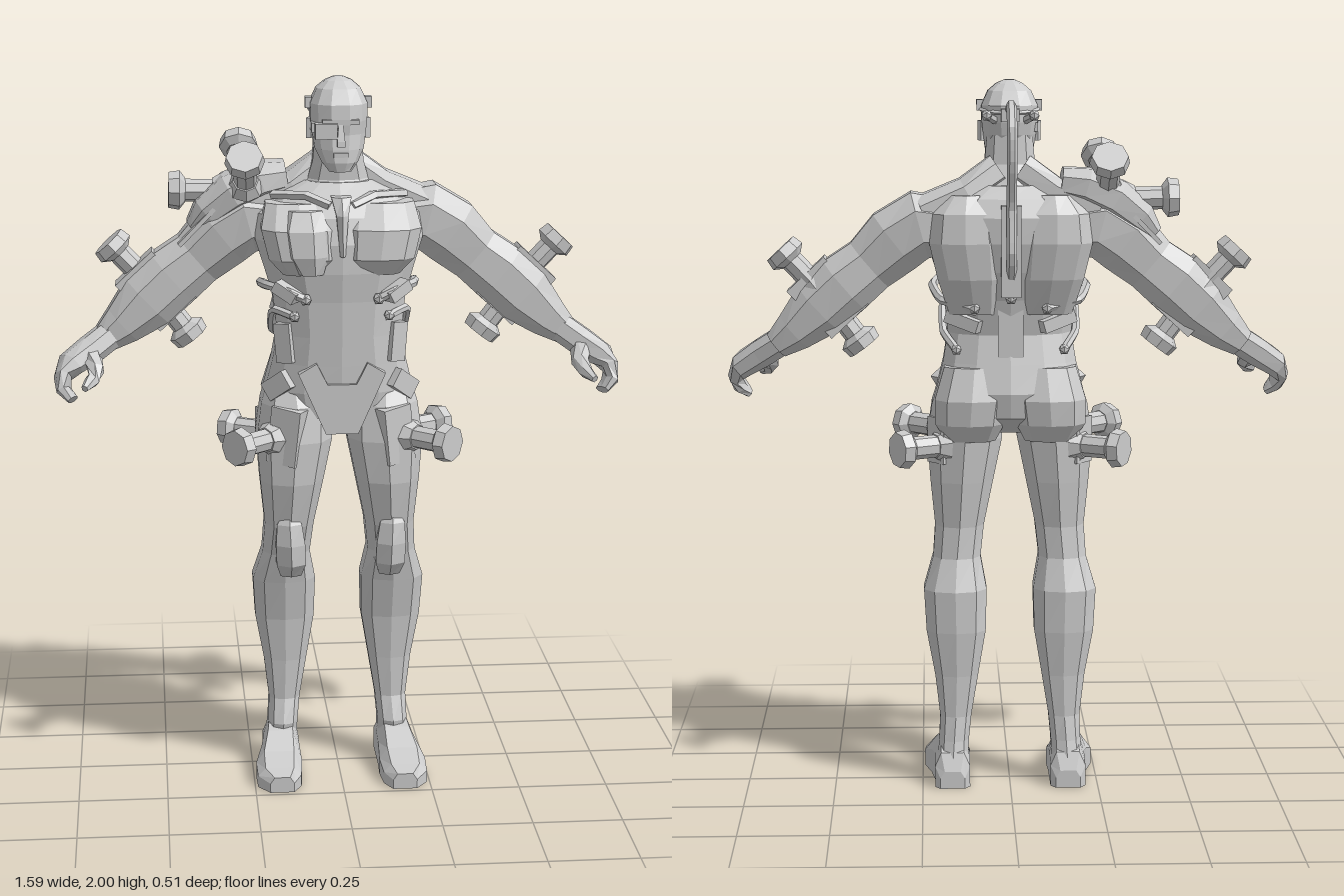
import * as THREE from 'three';

const grey = new THREE.MeshStandardMaterial({ color: 0xcccccc, flatShading: true });
grey.name = 'grey';

export function createModel() {
  const model = new THREE.Group();
  const V = (a) => new THREE.Vector3(...a);

  function add(name, geo, parent = model) {
    const mesh = new THREE.Mesh(geo, grey);
    mesh.name = name;
    parent.add(mesh);
    return mesh;
  }

  // Skin a closed surface over rings of points, oriented outward by its signed volume
  function loft(name, rings) {
    const n = rings[0].length, pos = [], idx = [];
    rings.forEach((r) => r.forEach((p) => pos.push(p)));
    for (let k = 0; k < rings.length - 1; k++)
      for (let i = 0; i < n; i++) {
        const a = k * n + i, b = k * n + (i + 1) % n;
        idx.push([a, a + n, b], [b, a + n, b + n]);
      }
    [0, rings.length - 1].forEach((k) => {
      const c = pos.length;
      pos.push(rings[k].reduce((s, p) => s.add(p), new THREE.Vector3()).divideScalar(n));
      for (let i = 0; i < n; i++) {
        const a = k * n + i, b = k * n + (i + 1) % n;
        idx.push(k === 0 ? [a, b, c] : [b, a, c]);
      }
    });
    let vol = 0;
    idx.forEach(([a, b, c]) => { vol += pos[a].dot(pos[b].clone().cross(pos[c])); });
    const geo = new THREE.BufferGeometry().setFromPoints(pos);
    geo.setIndex(idx.flatMap(([a, b, c]) => (vol < 0 ? [a, c, b] : [a, b, c])));
    const flat = geo.toNonIndexed();
    flat.computeVertexNormals();
    return add(name, flat);
  }

  const oval = (c, u, v, n) => Array.from({ length: n }, (_, i) => {
    const t = ((i + 0.5) / n) * Math.PI * 2;
    const f = (w) => Math.sign(w) * Math.abs(w) ** 0.85;
    return c.clone().addScaledVector(u, f(Math.cos(t))).addScaledVector(v, f(Math.sin(t)));
  });

  // Upright form from rows of [y, halfWidth, zFront, zBack, xCentre]
  const stack = (name, rows, n = 10, s = 1) => loft(name, rows.map(([y, w, zf, zb, x = 0]) =>
    oval(V([s * x, y, (zf + zb) / 2]), V([w * 1.03, 0, 0]), V([0, 0, (zf - zb) / 2 * 1.03]), n)));

  // Form along a path from rows of [x, y, z, thickness, depth]
  function limb(name, rows, n = 8, s = 1) {
    const p = rows.map(([x, y, z]) => V([s * x, y, z]));
    loft(name, rows.map(([, , , a, b], i) => {
      const t = p[Math.min(i + 1, p.length - 1)].clone().sub(p[Math.max(i - 1, 0)]).normalize();
      const v = V([0, 0, 1]).addScaledVector(t, -t.z).normalize();
      const u = v.clone().cross(t);
      return oval(p[i], u.multiplyScalar(a), v.multiplyScalar(b), n);
    }));
  }

  function plate(name, at, size, rot = [0, 0, 0]) {
    const m = add(name, new THREE.BoxGeometry(...size));
    m.position.set(...at);
    m.rotation.set(...rot);
  }

  function tube(name, pts, r) {
    const curve = new THREE.CatmullRomCurve3(pts.map(V), false, 'catmullrom', 0.2);
    add(name, new THREE.TubeGeometry(curve, pts.length * 3, r, 6, false));
    [0, pts.length - 1].forEach((i) => {
      add(name + 'End', new THREE.IcosahedronGeometry(r * 1.35, 0)).position.set(...pts[i]);
    });
  }

  // Mushroom shaped plug: flange, shaft and wide head whose tip sits at the given point
  function stud(name, tip, dir) {
    const g = new THREE.Group();
    g.name = name;
    [[0.05, 0.055, 0.03, -0.015], [0.055, 0.034, 0.016, -0.038],
      [0.032, 0.032, 0.1, -0.085], [0.036, 0.052, 0.03, -0.135]].forEach(([a, b, h, y], i) => {
      add(['head', 'collar', 'shaft', 'flange'][i], new THREE.CylinderGeometry(a, b, h, 8), g).position.y = y;
    });
    g.position.set(...tip);
    g.quaternion.setFromUnitVectors(V([0, 1, 0]), V(dir).normalize());
    model.add(g);
  }

  // Torso, neck and head
  stack('torso', [[1.02, 0.07, 0.1, -0.05], [1.07, 0.185, 0.14, -0.12], [1.14, 0.205, 0.15, -0.135],
    [1.22, 0.185, 0.155, -0.115], [1.3, 0.172, 0.16, -0.095], [1.4, 0.182, 0.165, -0.12],
    [1.48, 0.205, 0.175, -0.15], [1.56, 0.23, 0.175, -0.172], [1.63, 0.225, 0.155, -0.175],
    [1.68, 0.175, 0.11, -0.155], [1.715, 0.1, 0.07, -0.12]], 14);
  stack('neck', [[1.66, 0.13, 0.09, -0.13], [1.72, 0.085, 0.062, -0.095], [1.77, 0.071, 0.065, -0.07],
    [1.85, 0.064, 0.06, -0.065]]);
  stack('head', [[1.75, 0.03, 0.115, 0.06], [1.775, 0.05, 0.122, 0.0], [1.81, 0.067, 0.119, -0.045],
    [1.85, 0.073, 0.113, -0.065], [1.885, 0.077, 0.116, -0.073], [1.93, 0.078, 0.112, -0.073],
    [1.97, 0.06, 0.085, -0.045], [1.99, 0.037, 0.06, -0.02], [2.0, 0.014, 0.035, 0.005]], 12);
  stack('nose', [[1.82, 0.014, 0.137, 0.1], [1.835, 0.014, 0.135, 0.1], [1.88, 0.008, 0.121, 0.1]], 4);
  plate('lips', [0, 1.797, 0.118], [0.04, 0.012, 0.012]);
  plate('brow', [0, 1.885, 0.11], [0.1, 0.014, 0.018]);
  plate('eyepiece', [-0.04, 1.862, 0.112], [0.06, 0.042, 0.035]);
  plate('eyepieceStrap', [-0.072, 1.87, 0.04], [0.012, 0.025, 0.12]);
  const band = add('headband', new THREE.TorusGeometry(0.08, 0.007, 4, 10, Math.PI));
  band.rotation.x = -Math.PI / 2 - 0.1;
  band.scale.y = 1.17;
  band.position.set(0, 1.92, 0.018);

  // Spine hose from the back of the skull down to the lower back
  tube('spineHose', [[0, 1.91, -0.06], [0, 1.935, -0.14], [0, 1.925, -0.19], [0, 1.87, -0.235],
    [0, 1.78, -0.235], [0, 1.66, -0.19], [0, 1.53, -0.205], [0, 1.41, -0.14]], 0.014);
  plate('spinePlate', [0, 1.54, -0.165], [0.055, 0.25, 0.04]);
  plate('lumbarPlate', [0, 1.31, -0.098], [0.07, 0.14, 0.03]);
  plate('skullSocket', [0, 1.905, -0.07], [0.05, 0.035, 0.035]);

  // Breastbone clasp and chest plate
  stack('sternumClasp', [[1.53, 0.008, 0.195, 0.14], [1.64, 0.018, 0.187, 0.12], [1.685, 0.03, 0.15, 0.08]], 6);
  stack('chestPlate', [[1.48, 0.035, 0.195, 0.12, -0.085], [1.53, 0.06, 0.208, 0.11, -0.095],
    [1.6, 0.068, 0.2, 0.09, -0.1], [1.65, 0.05, 0.165, 0.07, -0.1]], 7);

  // Belt piece at the groin
  const belt = new THREE.Shape([[-0.12, 1.2], [-0.07, 1.23], [-0.04, 1.17], [0.04, 1.17], [0.07, 1.23],
    [0.12, 1.2], [0.045, 1.03], [-0.045, 1.03]].map(([x, y]) => new THREE.Vector2(x, y)));
  add('groinPlate', new THREE.ExtrudeGeometry(belt, { depth: 0.05, bevelEnabled: false })).position.z = 0.115;

  // Parts found on both sides
  [1, -1].forEach((s) => {
    stack('pectoral', [[1.475, 0.06, 0.165, 0.08, 0.1], [1.52, 0.098, 0.196, 0.05, 0.102],
      [1.6, 0.108, 0.19, 0.03, 0.112], [1.665, 0.09, 0.125, 0, 0.115]], 10, s);
    stack('shoulderBlade', [[1.36, 0.07, -0.05, -0.118, 0.1], [1.46, 0.09, -0.05, -0.163, 0.112],
      [1.56, 0.1, -0.05, -0.183, 0.125], [1.64, 0.09, -0.05, -0.176, 0.125],
      [1.69, 0.05, -0.05, -0.145, 0.12]], 10, s);
    stack('buttock', [[1.0, 0.07, 0.02, -0.1, 0.11], [1.05, 0.098, 0.04, -0.135, 0.113],
      [1.12, 0.104, 0.03, -0.145, 0.108], [1.21, 0.085, 0.02, -0.115, 0.1]], 10, s);
    limb('trapezius', [[0.03, 1.755, -0.045, 0.05, 0.05], [0.12, 1.695, -0.05, 0.045, 0.08],
      [0.24, 1.64, -0.05, 0.05, 0.09]], 8, s);
    limb('collarbone', [[0.03, 1.66, 0.125, 0.012, 0.02], [0.09, 1.685, 0.1, 0.012, 0.02],
      [0.18, 1.68, 0.035, 0.012, 0.02]], 5, s);
    plate('ear', [s * 0.077, 1.86, 0.015], [0.014, 0.055, 0.03], [0, s * 0.3, 0]);
    plate('templeSocket', [s * 0.082, 1.93, 0.02], [0.018, 0.03, 0.03]);
    tube('neckPlug', [[s * 0.04, 1.89, -0.05], [s * 0.065, 1.905, -0.1]], 0.012);

    // Arm and hooked hand
    limb('arm', [[0.17, 1.6, -0.045, 0.08, 0.095], [0.25, 1.605, -0.045, 0.1, 0.1],
      [0.32, 1.56, -0.045, 0.1, 0.09], [0.39, 1.495, -0.045, 0.085, 0.072],
      [0.46, 1.44, -0.045, 0.093, 0.075], [0.53, 1.375, -0.04, 0.09, 0.07],
      [0.6, 1.31, -0.035, 0.063, 0.058], [0.65, 1.27, -0.03, 0.042, 0.045]], 8, s);
    limb('hand', [[0.63, 1.285, -0.03, 0.042, 0.045], [0.69, 1.245, 0, 0.042, 0.052],
      [0.745, 1.21, 0.025, 0.037, 0.06], [0.768, 1.18, 0.05, 0.024, 0.05],
      [0.764, 1.145, 0.068, 0.02, 0.045], [0.74, 1.122, 0.08, 0.013, 0.035]], 8, s);
    limb('thumb', [[0.69, 1.235, 0.02, 0.03, 0.035], [0.675, 1.205, 0.08, 0.024, 0.024],
      [0.685, 1.185, 0.12, 0.02, 0.018], [0.705, 1.17, 0.155, 0.01, 0.01]], 6, s);
    stud('upperArmStud', [s * 0.635, 1.54, -0.055], [s * 0.68, 0.73, 0]);
    stud('lowerArmStud', [s * 0.405, 1.265, -0.045], [s * -0.6, -0.8, 0]);
    plate('elbowBracket', [s * 0.505, 1.405, -0.045], [0.14, 0.18, 0.075], [0, 0, s * -0.75]);

    // Leg, foot and knee guard
    stack('leg', [[0.06, 0.045, 0.03, -0.1, 0.165], [0.13, 0.043, 0.045, -0.085, 0.16],
      [0.2, 0.045, 0.022, -0.075, 0.155], [0.32, 0.062, 0.028, -0.08, 0.152],
      [0.45, 0.085, 0.042, -0.095, 0.153], [0.57, 0.09, 0.07, -0.1, 0.155],
      [0.66, 0.068, 0.095, -0.072, 0.15], [0.75, 0.07, 0.128, -0.068, 0.142],
      [0.88, 0.09, 0.156, -0.085, 0.135], [1.0, 0.107, 0.16, -0.095, 0.127],
      [1.1, 0.098, 0.145, -0.1, 0.122], [1.18, 0.065, 0.1, -0.08, 0.13]], 10, s);
    loft('foot', [[-0.11, 0.035, 0.05, 0.165], [-0.09, 0.05, 0.1, 0.165], [-0.02, 0.05, 0.135, 0.165],
      [0.05, 0.055, 0.115, 0.17], [0.12, 0.066, 0.078, 0.178], [0.19, 0.062, 0.056, 0.18],
      [0.235, 0.034, 0.045, 0.175]].map(([z, w, h, x]) =>
      [[-1, 0], [1, 0], [1, 0.6], [0.65, 1], [-0.65, 1], [-1, 0.6]].map(([a, b]) => V([s * x + a * w, b * h, z]))));
    stack('kneeGuard', [[0.6, 0.032, 0.11, 0.05, 0.14], [0.64, 0.045, 0.145, 0.04, 0.14],
      [0.7, 0.045, 0.152, 0.05, 0.142], [0.76, 0.038, 0.143, 0.07, 0.145], [0.79, 0.02, 0.128, 0.08, 0.145]], 6, s);
    plate('thighPlate', [s * 0.15, 1.02, 0.13], [0.09, 0.16, 0.05], [0, s * 0.55, s * 0.12]);
    plate('hipPlate', [s * 0.165, 1.16, 0.1], [0.08, 0.055, 0.06], [0, s * 0.6, s * -0.6]);
    plate('rearThighPlate', [s * 0.19, 1.0, -0.04], [0.05, 0.13, 0.07], [0, s * 0.7, 0]);
    stud('frontThighStud', [s * 0.3, 1.01, 0.22], [s * 0.73, 0, 0.68]);
    stud('rearThighStud', [s * 0.315, 0.985, -0.125], [s * 0.85, 0, -0.5]);

    // Rib hoses wrapping the waist, with their clamps
    tube('ribHose', [[s * 0.1, 1.41, 0.165], [s * 0.15, 1.435, 0.165], [s * 0.2, 1.44, 0.1],
      [s * 0.215, 1.43, 0], [s * 0.19, 1.4, -0.09], [s * 0.1, 1.38, -0.125]], 0.013);
    tube('lowerHose', [[s * 0.13, 1.36, 0.15], [s * 0.185, 1.37, 0.09], [s * 0.185, 1.3, 0],
      [s * 0.15, 1.26, -0.085]], 0.012);
    plate('frontClamp', [s * 0.15, 1.43, 0.15], [0.07, 0.032, 0.05], [0, s * 0.5, s * 0.5]);
    plate('backClamp', [s * 0.13, 1.34, -0.09], [0.1, 0.035, 0.04], [0, s * -0.4, s * 0.3]);
    plate('waistClamp', [s * 0.145, 1.28, 0.1], [0.05, 0.11, 0.06], [0, s * 0.6, s * -0.1]);
  });

  // Shoulder armour with three studs, right side only
  limb('shoulderArmour', [[-0.14, 1.72, -0.05, 0.045, 0.08], [-0.21, 1.71, -0.05, 0.055, 0.1],
    [-0.29, 1.675, -0.05, 0.06, 0.105], [-0.36, 1.62, -0.05, 0.05, 0.085],
    [-0.4, 1.58, -0.05, 0.025, 0.06]], 8);
  plate('armourFin', [-0.39, 1.59, 0.02], [0.14, 0.012, 0.03], [0, 0, 0.8]);
  plate('armourFin', [-0.37, 1.6, -0.12], [0.12, 0.012, 0.03], [0, 0, 0.8]);
  stud('frontShoulderStud', [-0.262, 1.8, 0.14], [-0.05, 0.65, 0.75]);
  stud('rearShoulderStud', [-0.265, 1.8, -0.21], [0, 0.65, -0.75]);
  stud('sideShoulderStud', [-0.465, 1.68, -0.065], [-1, 0.03, 0]);

  return model;
}
